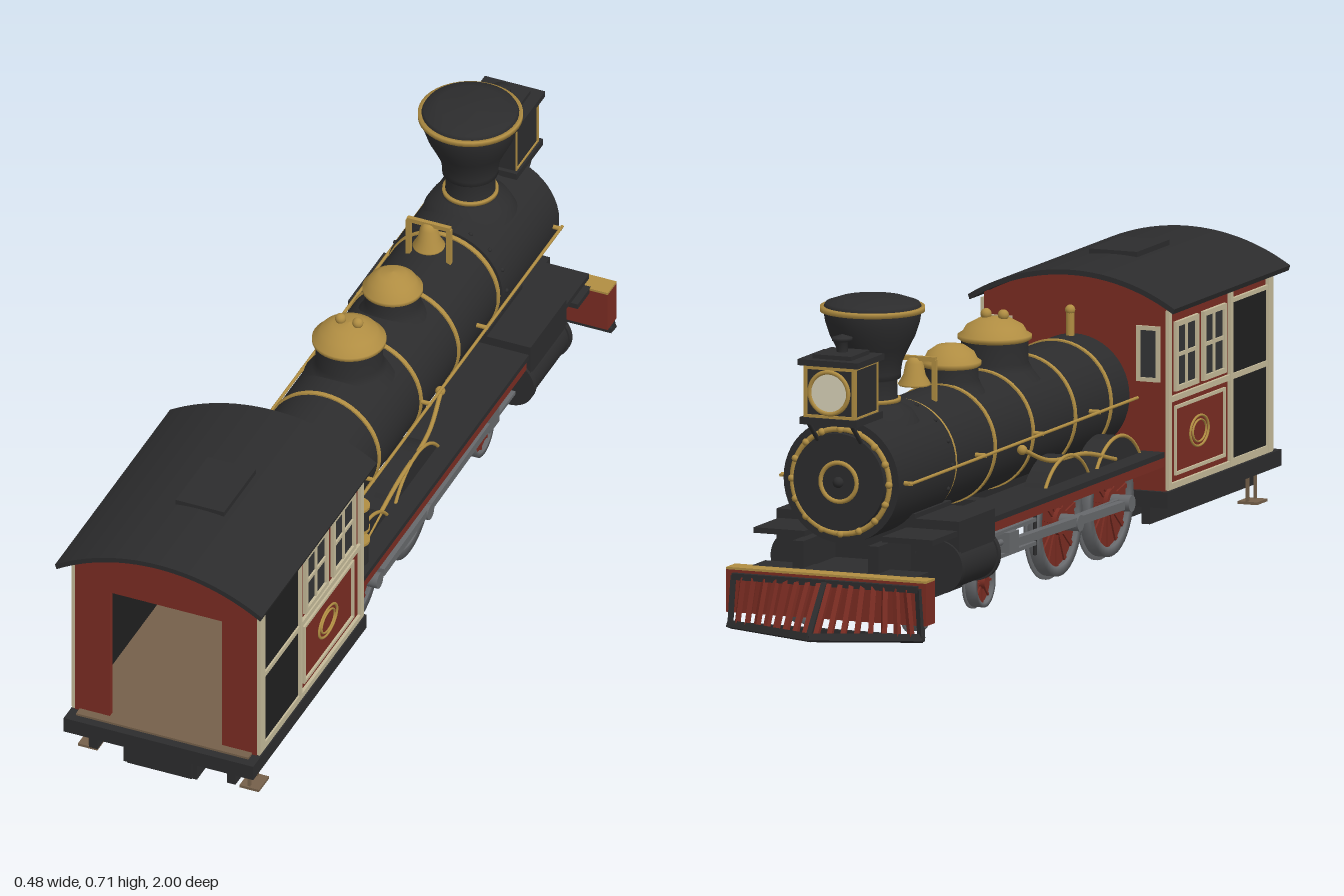
import * as THREE from 'three';

const paint = (name, color, side = THREE.FrontSide) => {
  const m = new THREE.MeshStandardMaterial({ color, side });
  m.name = name;
  return m;
};
const red = paint('red paint', 0x7a2c22), black = paint('black iron', 0x2c2c2d), dark = paint('dark interior', 0x1f1f20),
  gold = paint('brass', 0xb08d42), cream = paint('cream trim', 0xc4b998), steel = paint('steel', 0x66686b),
  ember = paint('firebox glow', 0xcc6422), wood = paint('floor wood', 0x75604a), lens = paint('lamp glass', 0xd8d2b8),
  glass = paint('window glass', 0x333536);

const V = (x, y, z) => new THREE.Vector3(x, y, z);
const SIDES = [1, -1];

function add(parent, name, geo, mat, x = 0, y = 0, z = 0) {
  const m = new THREE.Mesh(geo, mat);
  m.name = name;
  m.position.set(x, y, z);
  parent.add(m);
  return m;
}
// box given by its lower and upper limits
const span = (p, name, mat, x0, x1, y0, y1, z0, z1) =>
  add(p, name, new THREE.BoxGeometry(Math.abs(x1 - x0), y1 - y0, z1 - z0), mat, (x0 + x1) / 2, (y0 + y1) / 2, (z0 + z1) / 2);
const cylX = (r, h, n = 32) => new THREE.CylinderGeometry(r, r, h, n).rotateZ(Math.PI / 2);
const cylZ = (r, h, n = 48) => new THREE.CylinderGeometry(r, r, h, n).rotateX(Math.PI / 2);
const ball = (r) => new THREE.SphereGeometry(r, 14, 10);
const lathe = (pts, n = 40) => new THREE.LatheGeometry(pts.map(p => new THREE.Vector2(...p)), n);
const ring = (r0, r1, h, n = 40) => lathe([[r0, -h / 2], [r1, -h / 2], [r1, h / 2], [r0, h / 2], [r0, -h / 2]], n);
function rod(p, name, mat, a, b, r, square = false) {
  const d = b.clone().sub(a), len = d.length();
  const geo = square ? new THREE.BoxGeometry(r * 2, len, r * 2) : new THREE.CylinderGeometry(r, r, len, 10);
  const m = add(p, name, geo, mat);
  m.position.copy(a).add(b).multiplyScalar(0.5);
  m.quaternion.setFromUnitVectors(V(0, 1, 0), d.normalize());
  return m;
}
function rectPath(shape, w, h) {
  shape.moveTo(-w / 2, -h / 2); shape.lineTo(w / 2, -h / 2); shape.lineTo(w / 2, h / 2); shape.lineTo(-w / 2, h / 2); shape.closePath();
  return shape;
}
// flat rectangular border lying in the xy plane
function border(w, h, t, d = 0.008) {
  const s = rectPath(new THREE.Shape(), w, h);
  s.holes.push(rectPath(new THREE.Path(), w - 2 * t, h - 2 * t));
  return new THREE.ExtrudeGeometry(s, { depth: d, bevelEnabled: false }).translate(0, 0, -d / 2);
}
const sideBorder = (...a) => border(...a).rotateY(Math.PI / 2);
// height of an arch of half width c, springing at y0, crown at y1
function archY(x, c, y0, y1) {
  const h = y1 - y0, R = (c * c + h * h) / (2 * h);
  return y1 - R + Math.sqrt(R * R - x * x);
}

function buildCab(g) {
  span(g, 'footplate', black, -0.22, 0.22, 0.1, 0.135, 0.4, 1);
  span(g, 'cabFloor', wood, -0.2, 0.2, 0.135, 0.14, 0.42, 0.98);
  // arched end walls, the rear one with a doorway
  const endWall = (name, z, door, mat, depth) => {
    const s = new THREE.Shape();
    s.moveTo(-0.209, 0.135);
    if (door) { s.lineTo(-0.13, 0.135); s.lineTo(-0.13, 0.465); s.lineTo(0.13, 0.465); s.lineTo(0.13, 0.135); }
    s.lineTo(0.209, 0.135);
    for (let i = 0; i <= 20; i++) { const x = 0.209 - 0.0209 * i; s.lineTo(x, archY(x, 0.209, 0.536, 0.591)); }
    s.closePath();
    add(g, name, new THREE.ExtrudeGeometry(s, { depth, bevelEnabled: false }), mat, 0, 0, z);
  };
  endWall('cabRearWall', 0.945, true, red, 0.015);
  endWall('cabFrontWall', 0.41, false, red, 0.015);
  endWall('cabFrontLining', 0.425, false, black, 0.005);
  // curved roof with overhang and hatch
  const roof = new THREE.Shape();
  for (let i = 0; i <= 28; i++) { const x = -0.24 + 0.48 * i / 28, y = archY(x, 0.24, 0.533, 0.602); i ? roof.lineTo(x, y) : roof.moveTo(x, y); }
  for (let i = 28; i >= 0; i--) { const x = -0.24 + 0.48 * i / 28; roof.lineTo(x * 0.985, archY(x, 0.24, 0.533, 0.602) - 0.011); }
  add(g, 'cabRoof', new THREE.ExtrudeGeometry(roof, { depth: 0.61, bevelEnabled: false }), black, 0, 0, 0.39);
  span(g, 'roofHatch', black, -0.056, 0.056, 0.59, 0.61, 0.61, 0.78);
  for (const s of SIDES) {
    const side = new THREE.Group(); side.name = s > 0 ? 'cabSideLeft' : 'cabSideRight'; g.add(side);
    span(side, 'sideWall', red, s * 0.203, s * 0.211, 0.135, 0.545, 0.41, 0.96);
    span(side, 'sideLining', dark, s * 0.199, s * 0.203, 0.14, 0.545, 0.42, 0.945);
    // side door
    span(side, 'doorPanel', dark, s * 0.211, s * 0.214, 0.15, 0.495, 0.745, 0.935);
    add(side, 'doorFrame', sideBorder(0.2, 0.355, 0.009), cream, s * 0.214, 0.322, 0.84);
    span(side, 'doorRail', cream, s * 0.211, s * 0.218, 0.325, 0.337, 0.42, 0.95);
    for (const [z0, z1] of [[0.935, 0.96], [0.41, 0.425], [0.735, 0.748]]) span(side, 'post', cream, s * 0.211, s * 0.219, 0.14, 0.525, z0, z1);
    span(side, 'sill', cream, s * 0.211, s * 0.218, 0.137, 0.15, 0.41, 0.96);
    // paired four-pane windows
    for (const z of [0.655, 0.51]) {
      span(side, 'windowGlass', glass, s * 0.211, s * 0.213, 0.35, 0.49, z - 0.055, z + 0.055);
      add(side, 'windowFrame', sideBorder(0.12, 0.15, 0.011), cream, s * 0.215, 0.42, z);
      span(side, 'windowBarUpright', cream, s * 0.212, s * 0.217, 0.35, 0.49, z - 0.004, z + 0.004);
      span(side, 'windowBarLevel', cream, s * 0.212, s * 0.217, 0.418, 0.426, z - 0.055, z + 0.055);
    }
    add(side, 'panelBorder', sideBorder(0.265, 0.15, 0.007, 0.006), cream, s * 0.213, 0.238, 0.585);
    for (const k of [1, 0.72]) add(side, 'ovalBadge', new THREE.TorusGeometry(0.048, 0.004, 8, 40).rotateY(Math.PI / 2).scale(0.7, 0.68 * k, k), gold, s * 0.212, 0.24, 0.585);
    // small front windows
    add(side, 'frontWindowFrame', border(0.055, 0.12, 0.009), cream, s * 0.172, 0.43, 0.408);
    span(side, 'frontWindowGlass', glass, s * 0.148, s * 0.196, 0.375, 0.485, 0.407, 0.411);
    // hanging step
    for (const z of [0.9, 0.94]) rod(side, 'stepHanger', wood, V(s * 0.185, 0.1, z), V(s * 0.185, 0.035, z), 0.003, true);
    span(side, 'stepTread', wood, s * 0.165, s * 0.21, 0.03, 0.036, 0.893, 0.947);
  }
  // backhead with gauges and fire door
  add(g, 'backhead', cylZ(0.128, 0.03), black, 0, 0.335, 0.435);
  for (const s of SIDES) add(g, 'gauge', ball(0.017), gold, s * 0.052, 0.4, 0.452);
  add(g, 'fireDoorFrame', border(0.094, 0.088, 0.011, 0.012), black, 0, 0.218, 0.456);
  span(g, 'fireGlow', ember, -0.036, 0.036, 0.185, 0.25, 0.449, 0.456);
}

function buildBoiler(g) {
  add(g, 'boiler', cylZ(0.127, 0.95), black, 0, 0.335, -0.06);
  add(g, 'smokebox', cylZ(0.134, 0.3), black, 0, 0.335, -0.67);
  for (const z of [0.31, 0.122, -0.1, -0.3, -0.51]) add(g, 'boilerBand', cylZ(0.1305, 0.011), gold, 0, 0.335, z);
  // smokebox front
  add(g, 'smokeboxDoor', cylZ(0.105, 0.02), black, 0, 0.335, -0.824);
  add(g, 'doorRing', new THREE.TorusGeometry(0.113, 0.006, 8, 48), gold, 0, 0.335, -0.822);
  add(g, 'innerRing', new THREE.TorusGeometry(0.042, 0.005, 8, 32), gold, 0, 0.335, -0.834);
  add(g, 'doorKnob', ball(0.012), black, 0, 0.335, -0.836);
  for (let i = 0; i < 16; i++) {
    const a = i * Math.PI / 8;
    add(g, 'frontStud', ball(0.008), gold, 0.113 * Math.cos(a), 0.335 + 0.113 * Math.sin(a), -0.825);
    add(g, 'smokeboxRivet', ball(0.005), black, 0.134 * Math.cos(a), 0.335 + 0.134 * Math.sin(a), -0.54);
  }
  // balloon stack
  add(g, 'stack', lathe([[0.1, 0.44], [0.085, 0.465], [0.062, 0.478], [0.054, 0.485], [0.052, 0.53], [0.06, 0.534], [0.06, 0.545], [0.064, 0.57],
    [0.078, 0.6], [0.091, 0.625], [0.101, 0.655], [0.106, 0.685], [0.1, 0.696], [0.07, 0.706], [0, 0.711]]), black, 0, 0, -0.655);
  add(g, 'stackRim', ring(0.1, 0.112, 0.011), gold, 0, 0.683, -0.655);
  add(g, 'stackCollar', ring(0.05, 0.06, 0.008), gold, 0, 0.487, -0.655);
  // steam and sand domes
  for (const [z, r, y] of [[-0.012, 0.072, 0.518], [-0.243, 0.059, 0.497]]) {
    add(g, 'domeBody', lathe([[r * 1.35, 0.43], [r * 1.12, 0.452], [r, 0.468], [r, y]]), black, 0, 0, z);
    add(g, 'domeCap', lathe([[r, y - 0.004], [r * 1.1, y], [r * 1.1, y + 0.008], [r * 0.96, y + 0.014], [r * 0.85, y + 0.028], [r * 0.5, y + 0.042], [0, y + 0.047]]), gold, 0, 0, z);
  }
  for (const s of SIDES) add(g, 'safetyValve', ball(0.012), gold, s * 0.02, 0.569, -0.012);
  // bell in its yoke
  add(g, 'bell', lathe([[0.033, 0.482], [0.035, 0.486], [0.024, 0.505], [0.019, 0.53], [0.011, 0.541], [0, 0.544]], 24), gold, 0, 0, -0.435);
  for (const s of SIDES) rod(g, 'bellPost', gold, V(s * 0.047, 0.44, -0.435), V(s * 0.047, 0.54, -0.435), 0.005, true);
  rod(g, 'bellYoke', gold, V(-0.05, 0.541, -0.435), V(0.05, 0.541, -0.435), 0.005, true);
  add(g, 'whistle', new THREE.CylinderGeometry(0.009, 0.009, 0.06, 12), gold, 0, 0.485, 0.385);
  add(g, 'whistleTop', ball(0.011), gold, 0, 0.517, 0.385);
  // headlamp
  span(g, 'lampBox', black, -0.058, 0.058, 0.48, 0.59, -0.88, -0.76);
  span(g, 'lampRoof', black, -0.07, 0.07, 0.592, 0.605, -0.892, -0.752);
  span(g, 'lampRoofTop', black, -0.045, 0.045, 0.605, 0.614, -0.87, -0.772);
  add(g, 'lampChimney', lathe([[0.012, 0.61], [0.012, 0.635], [0.022, 0.638], [0.022, 0.645], [0, 0.652]], 16), black, 0, 0, -0.815);
  add(g, 'lampFrame', border(0.118, 0.112, 0.007), gold, 0, 0.535, -0.881);
  for (const s of SIDES) add(g, 'lampSideFrame', sideBorder(0.118, 0.112, 0.005, 0.004), gold, s * 0.059, 0.535, -0.82);
  add(g, 'lampLens', cylZ(0.043, 0.008, 32), lens, 0, 0.535, -0.882);
  add(g, 'lampRing', new THREE.TorusGeometry(0.045, 0.005, 8, 32), gold, 0, 0.535, -0.885);
  span(g, 'lampShelf', black, -0.066, 0.066, 0.465, 0.48, -0.89, -0.75);
  for (const s of SIDES) {
    rod(g, 'lampStrut', black, V(s * 0.05, 0.468, -0.88), V(s * 0.05, 0.41, -0.815), 0.005);
    // handrail with stanchions, and control lever
    rod(g, 'handrail', gold, V(s * 0.15, 0.335, 0.4), V(s * 0.15, 0.335, -0.8), 0.0035);
    for (const z of [0.2, -0.1, -0.4, -0.79]) rod(g, 'railStanchion', gold, V(s * 0.12, 0.335, z), V(s * 0.152, 0.335, z), 0.005);
    const curve = new THREE.CatmullRomCurve3([V(s * 0.16, 0.225, 0.26), V(s * 0.16, 0.262, 0.1), V(s * 0.155, 0.275, -0.08), V(s * 0.14, 0.312, -0.18)]);
    add(g, 'feedPipe', new THREE.TubeGeometry(curve, 24, 0.005, 8), gold);
    add(g, 'pipeValve', ball(0.011), gold, s * 0.138, 0.312, -0.18);
  }
  // air pump
  for (const [y, r, h] of [[0.245, 0.025, 0.06], [0.295, 0.012, 0.05], [0.335, 0.026, 0.06]]) add(g, 'airPump', new THREE.CylinderGeometry(r, r, h, 20), black, 0.17, y, 0.335);
  for (const y of [0.275, 0.307, 0.364]) add(g, 'airPumpBand', new THREE.CylinderGeometry(0.028, 0.028, 0.006, 20), gold, 0.17, y, 0.335);
}

function buildWheel(g, s, r, y, z, spokes) {
  const w = new THREE.Group(); w.name = r > 0.1 ? 'drivingWheel' : 'leadingWheel'; w.position.set(s * 0.133, y, z); g.add(w);
  add(w, 'tyre', ring(r * 0.8, r * 0.97, 0.028).rotateZ(Math.PI / 2), steel);
  add(w, 'flange', ring(r * 0.8, r * 1.04, 0.006).rotateZ(Math.PI / 2), steel, -s * 0.013);
  add(w, 'wheelDisc', cylX(r * 0.82, 0.008), red);
  add(w, 'hub', cylX(r * 0.24, 0.034, 20), red);
  for (let i = 0; i < spokes; i++) {
    const a = i / spokes * Math.PI * 2;
    add(w, 'spoke', new THREE.BoxGeometry(0.016, r * 0.82, r * 0.09).translate(0, r * 0.41, 0), red).rotation.x = a;
  }
}

function buildChassis(g) {
  for (const s of SIDES) {
    span(g, 'runningBoard', black, s * 0.09, s * 0.208, 0.208, 0.22, -0.81, 0.41);
    span(g, 'runningBoardEdge', red, s * 0.195, s * 0.207, 0.188, 0.208, -0.48, 0.41);
    span(g, 'mainFrame', black, s * 0.075, s * 0.1, 0.135, 0.205, -0.85, 0.42);
    span(g, 'rearBeam', black, s * 0.055, s * 0.085, 0.055, 0.1, 0.4, 0.99);
    span(g, 'outerBeam', black, s * 0.15, s * 0.17, 0.06, 0.1, 0.42, 0.98);
    span(g, 'frontFrame', black, s * 0.08, s * 0.11, 0.065, 0.14, -0.86, -0.76);
    span(g, 'truckBar', black, s * 0.095, s * 0.112, 0.055, 0.08, -0.76, -0.35);
    for (const z of [0.27, 0]) {
      buildWheel(g, s, 0.121, 0.13, z, 14);
      // splasher above each driving wheel
      const cap = new THREE.Shape();
      const a = Math.asin(0.085 / 0.143);
      cap.absarc(0, 0, 0.143, a, Math.PI - a, false); cap.closePath();
      add(g, 'splasher', new THREE.ExtrudeGeometry(cap, { depth: 0.05, bevelEnabled: false, curveSegments: 24 }).rotateY(Math.PI / 2).translate(-0.025, 0, 0), black, s * 0.137, 0.13, z);
      add(g, 'splasherTrim', new THREE.TorusGeometry(0.143, 0.004, 8, 28, Math.PI - 2 * a).rotateZ(a).rotateY(Math.PI / 2), gold, s * 0.162, 0.13, z);
      add(g, 'crankPin', cylX(0.018, 0.05, 16), steel, s * 0.17, 0.13, z);
    }
    for (const z of [-0.393, -0.722]) buildWheel(g, s, 0.055, 0.06, z, 8);
    // rods, crosshead and cylinder
    span(g, 'couplingRod', steel, s * 0.163, s * 0.172, 0.12, 0.14, 0, 0.27);
    rod(g, 'mainRod', steel, V(s * 0.183, 0.13, 0.24), V(s * 0.183, 0.14, -0.36), 0.009, true);
    rod(g, 'pistonRod', steel, V(s * 0.172, 0.145, -0.3), V(s * 0.172, 0.145, -0.5), 0.007);
    span(g, 'crosshead', steel, s * 0.16, s * 0.192, 0.122, 0.166, -0.37, -0.32);
    for (const y of [0.117, 0.168]) span(g, 'slideBar', steel, s * 0.165, s * 0.18, y - 0.004, y + 0.004, -0.49, -0.2);
    add(g, 'cylinder', cylZ(0.054, 0.2), black, s * 0.165, 0.14, -0.585);
    for (const z of [-0.49, -0.68]) add(g, 'cylinderHead', cylZ(0.058, 0.014), black, s * 0.165, 0.14, z);
    span(g, 'valveChest', black, s * 0.11, s * 0.212, 0.17, 0.24, -0.68, -0.49);
    rod(g, 'brakeHanger', black, V(s * 0.15, 0.19, -0.14), V(s * 0.15, 0.08, -0.14), 0.004);
  }
  for (const z of [0.27, 0]) add(g, 'drivingAxle', cylX(0.016, 0.27, 16), black, 0, 0.13, z);
  for (const z of [-0.393, -0.722]) add(g, 'leadingAxle', cylX(0.01, 0.26, 16), black, 0, 0.06, z);
  for (const z of [-0.25, -0.13, 0.13, 0.38]) span(g, 'crossMember', black, -0.1, 0.1, 0.145, 0.19, z - 0.02, z + 0.02);
  span(g, 'firebox', black, -0.075, 0.075, 0.14, 0.3, 0.05, 0.41);
  span(g, 'smokeboxSaddle', black, -0.11, 0.11, 0.1, 0.25, -0.68, -0.49);
  span(g, 'truckBolster', black, -0.1, 0.1, 0.055, 0.1, -0.6, -0.52);
  span(g, 'rearDrawbar', black, -0.075, 0.075, 0.057, 0.097, 0.96, 0.995);
  span(g, 'frontDeck', black, -0.19, 0.19, 0.135, 0.147, -0.86, -0.79);
  span(g, 'frontDeckCentre', black, -0.1, 0.1, 0.13, 0.145, -0.8, -0.66);
}

function buildPilot(g) {
  span(g, 'bufferBeam', red, -0.232, 0.232, 0.05, 0.142, -0.9, -0.853);
  span(g, 'beamTrim', gold, -0.232, 0.232, 0.142, 0.147, -0.9, -0.853);
  span(g, 'pilotTopBar', black, -0.215, 0.215, 0.122, 0.136, -0.912, -0.9);
  span(g, 'pilotRearBar', black, -0.225, 0.225, 0.016, 0.028, -0.9, -0.888);
  const foot = x => V(x, 0.024, -0.99 + 0.09 * Math.abs(x) / 0.225);
  for (const s of SIDES) {
    rod(g, 'pilotFootBar', black, foot(0), foot(s * 0.225), 0.008, true);
    rod(g, 'pilotCornerBar', black, V(s * 0.215, 0.13, -0.9), foot(s * 0.222), 0.006, true);
    for (let i = 0; i < 8; i++) {
      const x = s * (0.013 + i * 0.027);
      rod(g, 'pilotSlat', red, V(x * 0.94, 0.128, -0.906), foot(x), 0.0055, true);
    }
  }
  rod(g, 'pilotNose', black, V(0, 0.13, -0.906), foot(0), 0.006, true);
}

export function createModel() {
  const model = new THREE.Group();
  model.name = 'steamLocomotive';
  for (const [name, build] of [['cab', buildCab], ['boilerAssembly', buildBoiler], ['chassis', buildChassis], ['pilot', buildPilot]]) {
    const g = new THREE.Group();
    g.name = name;
    build(g);
    model.add(g);
  }
  return model;
}
